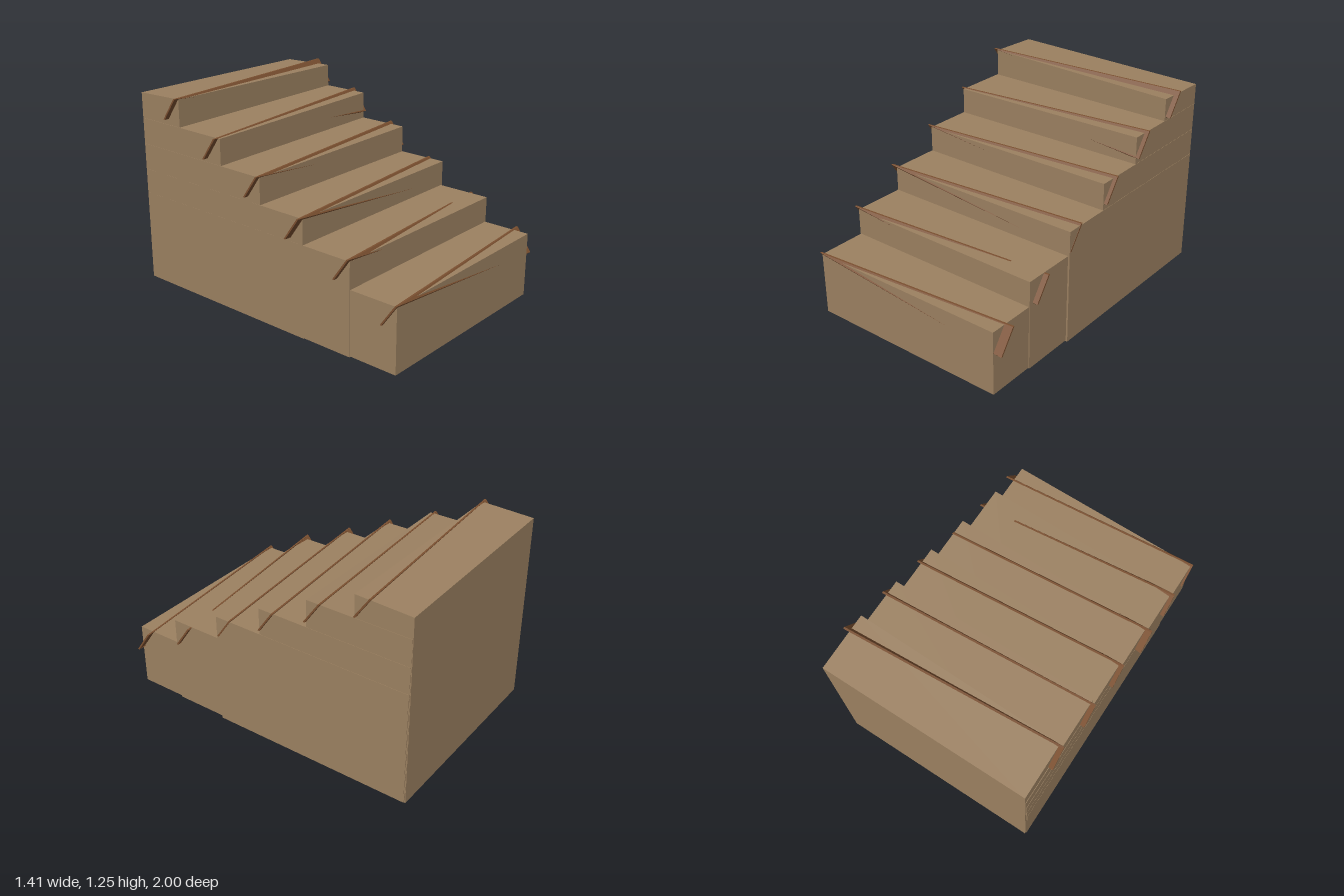
import * as THREE from 'three';

// Six-sided solid from its front and back corner loops (top-left, bottom-left, bottom-right, top-right)
function hexahedron(front, back) {
  const geometry = new THREE.BufferGeometry();
  geometry.setAttribute('position', new THREE.Float32BufferAttribute([...front, ...back].flat(), 3));
  geometry.setIndex([
    0, 1, 2, 0, 2, 3, // front
    4, 6, 5, 4, 7, 6, // back
    4, 5, 1, 4, 1, 0, // right side (-x)
    3, 2, 6, 3, 6, 7, // left side (+x)
    4, 0, 3, 4, 3, 7, // top
    1, 5, 6, 1, 6, 2, // bottom
  ]);
  const flat = geometry.toNonIndexed();
  flat.computeVertexNormals();
  return flat;
}

// Slightly uneven solid step reaching from the ground to its tread
function stepBlock({ x, y, z, back, base, drop = 0 }) {
  const loop = (z0, z1, d) => [
    [x[0], y[0] - d, z0], [x[0], base, z0], [x[1], base, z1], [x[1], y[1] - d, z1],
  ];
  return hexahedron(loop(z[0], z[1], 0), loop(back, back, drop));
}

// Thin twisted board: leans forward at one end and backward at the other
function twistedBoard([x0, top0, z0], [x1, top1, z1]) {
  const height = 0.143, lean = 0.1;
  const loop = (t) => [
    [x0, top0, z0 + t], [x0, top0 - height, z0 - lean + t],
    [x1, top1 - height, z1 + t], [x1, top1, z1 - lean + t],
  ];
  return hexahedron(loop(0), loop(-0.012));
}

export function createModel() {
  const group = new THREE.Group();
  const wood = new THREE.MeshStandardMaterial({ color: 0x9c8161 });
  wood.name = 'light wood';
  const trim = new THREE.MeshStandardMaterial({ color: 0x7b5030 });
  trim.name = 'brown trim';

  // Per step: block extents, then the front-most corner of each board end
  const steps = [
    { x: [-0.66, 0.65], y: [0.415, 0.418], z: [0.987, 0.983], back: 0.5, base: 0.012,
      board: [[-0.672, 0.425, 0.995], [0.703, 0.422, 0.98]] },
    { x: [-0.665, 0.655], y: [0.582, 0.58], z: [0.67, 0.675], back: -0.985, base: 0.008,
      board: [[-0.69, 0.6, 0.678], [0.686, 0.576, 0.648]] },
    { x: [-0.664, 0.666], y: [0.738, 0.738], z: [0.33, 0.326], back: -0.99, base: 0.003,
      board: [[-0.706, 0.749, 0.337], [0.668, 0.749, 0.324]] },
    { x: [-0.663, 0.664], y: [0.902, 0.908], z: [0.004, 0.002], back: -0.993, base: 0.006,
      board: [[-0.69, 0.912, 0.007], [0.686, 0.921, -0.003]] },
    { x: [-0.661, 0.662], y: [1.066, 1.08], z: [-0.312, -0.329], back: -0.996, base: 0.005,
      board: [[-0.69, 1.068, -0.326], [0.686, 1.094, -0.324]] },
    { x: [-0.658, 0.66], y: [1.238, 1.222], z: [-0.662, -0.64], back: -1, base: 0, drop: 0.012,
      board: [[-0.687, 1.245, -0.661], [0.69, 1.245, -0.65]] },
  ];

  steps.forEach((step, i) => {
    const block = new THREE.Mesh(stepBlock(step), wood);
    block.name = `step${i + 1}`;
    const board = new THREE.Mesh(twistedBoard(...step.board), trim);
    board.name = `edgeBoard${i + 1}`;
    group.add(block, board);
  });

  group.name = 'staircase';
  return group;
}
